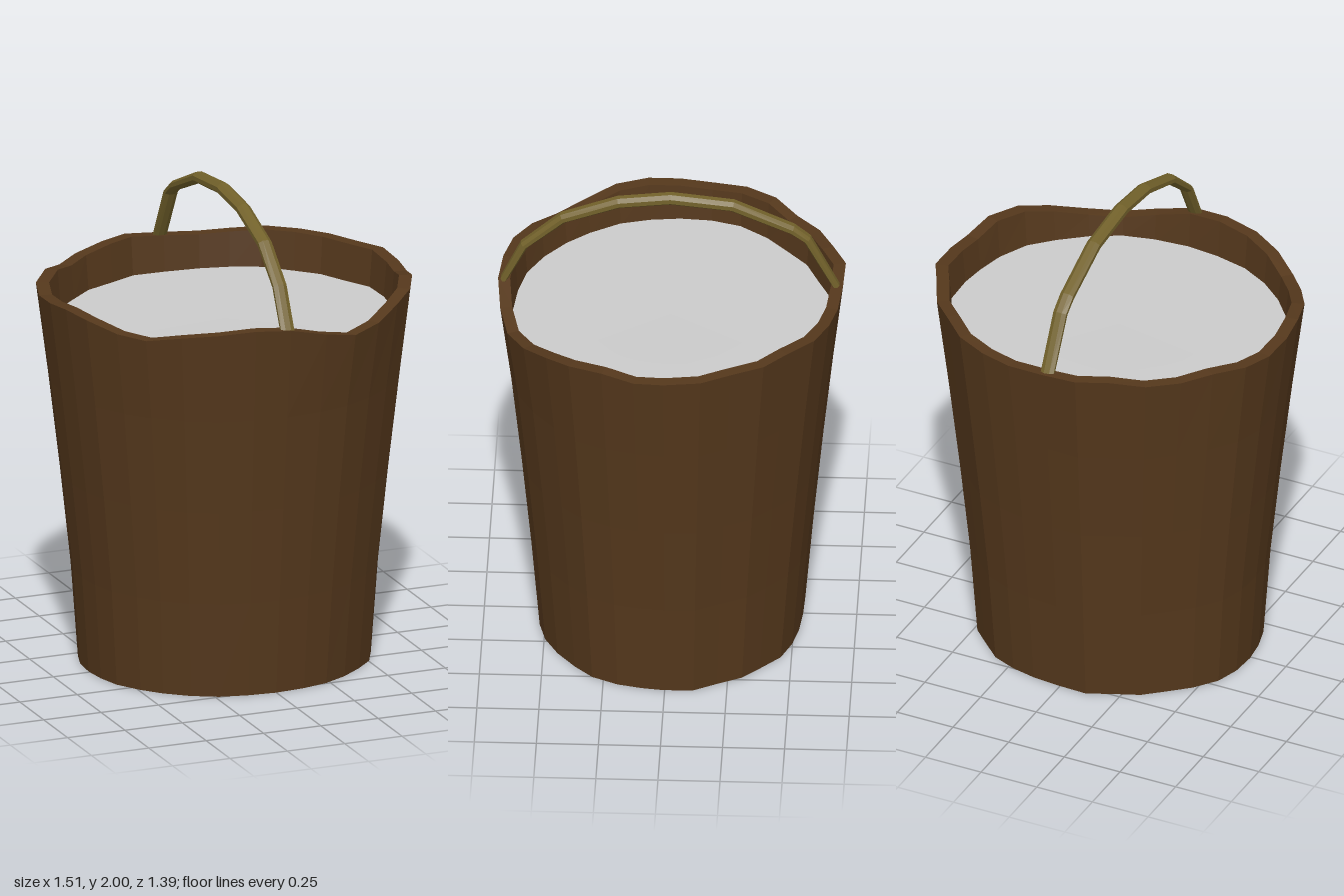
import * as THREE from 'three';

// Uneven hand-hewn rim outline: x, z, height
const RIM = [
  [-0.15, -0.70, 1.59], [0, -0.695, 1.58], [0.16, -0.68, 1.57], [0.29, -0.65, 1.575],
  [0.42, -0.595, 1.585], [0.53, -0.49, 1.59], [0.62, -0.40, 1.585], [0.685, -0.27, 1.585],
  [0.75, -0.15, 1.585], [0.755, 0, 1.575], [0.74, 0.12, 1.57], [0.71, 0.25, 1.595],
  [0.645, 0.385, 1.585], [0.55, 0.48, 1.56], [0.43, 0.575, 1.525], [0.30, 0.645, 1.51],
  [0.16, 0.68, 1.54], [0, 0.695, 1.58], [-0.15, 0.68, 1.59], [-0.30, 0.645, 1.58],
  [-0.43, 0.575, 1.565], [-0.545, 0.48, 1.54], [-0.63, 0.38, 1.55], [-0.71, 0.25, 1.58],
  [-0.745, 0.12, 1.59], [-0.76, -0.01, 1.58], [-0.75, -0.15, 1.57], [-0.71, -0.28, 1.58],
  [-0.62, -0.40, 1.59], [-0.52, -0.49, 1.57], [-0.41, -0.585, 1.575], [-0.27, -0.645, 1.59],
];

// Skins a list of closed rings that all have the same number of points
function loft(rings) {
  const n = rings[0].length, index = [];
  for (let r = 0; r < rings.length - 1; r++) {
    for (let i = 0; i < n; i++) {
      const a = r * n + i, b = r * n + (i + 1) % n;
      index.push(a, a + n, b, a + n, b + n, b);
    }
  }
  const geometry = new THREE.BufferGeometry().setFromPoints(rings.flat());
  geometry.setIndex(index);
  geometry.computeVertexNormals();
  return geometry;
}

// Rim outline scaled about the axis; without a height it follows the wavy rim
const ring = (scale, y) => RIM.map(([x, z, h]) =>
  new THREE.Vector3(x * scale, y ?? h, z * scale * (y === 0 ? 0.985 : 1)));

function part(name, geometry, color) {
  const material = new THREE.MeshStandardMaterial({ color, flatShading: true, side: THREE.DoubleSide });
  const mesh = new THREE.Mesh(geometry, material);
  mesh.name = name;
  return mesh;
}

export function createModel() {
  const group = new THREE.Group();
  group.name = 'bucket';

  // Thick tapered wall: underside, outside, rim, inside, inner floor
  group.add(part('bucketWall', loft([
    ring(0.001, 0), ring(0.78, 0), ring(0.817, 0.4), ring(0.873, 0.8), ring(0.935, 1.2),
    ring(1), ring(0.93), ring(0.912, 1.42), ring(0.73, 0.06), ring(0.001, 0.06),
  ]), 0x55381c));

  // Liquid surface with a barely sunken middle
  group.add(part('liquid', loft([ring(0.914, 1.43), ring(0.5, 1.43), ring(0.001, 1.425)]), 0xcccccc));

  // Bent handle: centre line z, y and thickness within the bend
  const path = [
    [0.675, 1.57, 0.014], [0.59, 1.74, 0.018], [0.435, 1.872, 0.022], [0.21, 1.952, 0.024],
    [0, 1.975, 0.025], [-0.25, 1.948, 0.024], [-0.49, 1.842, 0.021], [-0.55, 1.797, 0.018],
    [-0.67, 1.57, 0.014],
  ];
  const sides = 8;
  const section = (k, size) => {
    const [z, y, thick] = path[k];
    const p = path[Math.max(k - 1, 0)], q = path[Math.min(k + 1, path.length - 1)];
    const dz = q[0] - p[0], dy = q[1] - p[1], len = Math.hypot(dz, dy);
    return Array.from({ length: sides }, (_, i) => {
      const a = (i + 0.5) / sides * Math.PI * 2, out = Math.sin(a) * thick * size;
      return new THREE.Vector3(-0.01 + Math.cos(a) * 0.031 * size, y - out * dz / len, z + out * dy / len);
    });
  };
  const last = path.length - 1;
  group.add(part('handle', loft([
    section(0, 0.01), ...path.map((_, k) => section(k, 1)), section(last, 0.01),
  ]), 0x73622b));

  return group;
}
